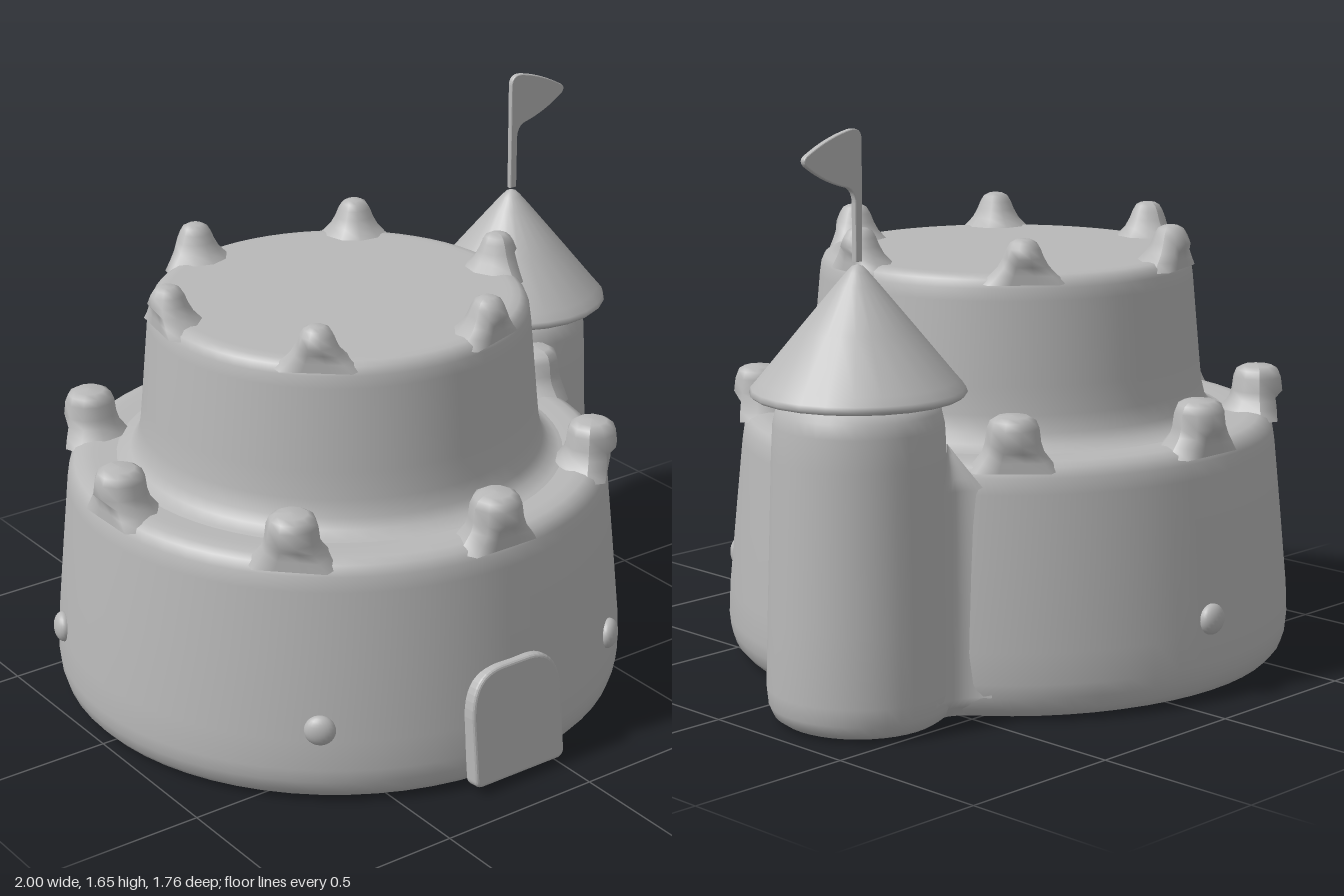
import * as THREE from 'three';
import { ParametricGeometry } from 'three/addons/geometries/ParametricGeometry.js';

const CX = -0.15, CZ = -0.01;        // main keep axis
const TX = 0.7, TZ = -0.26;          // side tower axis

export function createModel() {
  const group = new THREE.Group();
  const grey = new THREE.MeshStandardMaterial({ color: 0xb8b8b8 });
  grey.name = 'clay grey';
  const greyDouble = grey;

  function add(name, geometry, x = 0, y = 0, z = 0) {
    const mesh = new THREE.Mesh(geometry, grey);
    mesh.name = name;
    mesh.position.set(x, y, z);
    group.add(mesh);
    return mesh;
  }
  const lathe = (pts, n) => new THREE.LatheGeometry(pts.map(p => new THREE.Vector2(...p)), n);

  // Two round tiers, soft at the edges
  add('lowerTier', lathe([
    [0, 0], [0.77, 0], [0.79, 0.003], [0.815, 0.012], [0.835, 0.035], [0.846, 0.07], [0.85, 0.11],
    [0.846, 0.2], [0.825, 0.42], [0.803, 0.64], [0.796, 0.685], [0.78, 0.712], [0.755, 0.724],
    [0.72, 0.728], [0.68, 0.724], [0.5, 0.722],
  ], 64), CX, 0, CZ);
  add('upperTier', lathe([
    [0.69, 0.718], [0.65, 0.726], [0.62, 0.742], [0.6, 0.77], [0.588, 0.82], [0.58, 0.9],
    [0.558, 1.14], [0.553, 1.175], [0.543, 1.198], [0.525, 1.209], [0.5, 1.212], [0.48, 1.21], [0, 1.21],
  ], 64), CX + 0.005, 0, CZ + 0.005);

  // Merlons flare into the wall top; the flare is held back on the outer side
  function merlonRing(name, count, ring, start, floor, profile, limit) {
    for (let i = 0; i < count; i++) {
      const a = start + i * Math.PI * 2 / count;
      const geo = lathe(profile, 10);
      const p = geo.attributes.position;
      for (let j = 0; j < p.count; j++) {
        if (p.getY(j) < 0.05) p.setX(j, Math.min(p.getX(j), limit));
      }
      geo.computeVertexNormals();
      const m = add(name, geo, CX + ring * Math.cos(a), floor, CZ + ring * Math.sin(a));
      m.rotation.y = -a;
    }
  }
  merlonRing('lowerMerlon', 8, 0.752, 0, 0.72, [
    [0.13, -0.02], [0.105, 0.01], [0.086, 0.035], [0.078, 0.06], [0.073, 0.1], [0.064, 0.122],
    [0.045, 0.133], [0, 0.136],
  ], 0.052);
  merlonRing('upperMerlon', 6, 0.522, 0.2, 1.205, [
    [0.125, -0.02], [0.095, 0.006], [0.072, 0.03], [0.058, 0.055], [0.048, 0.08], [0.037, 0.098],
    [0.022, 0.106], [0, 0.107],
  ], 0.036);

  // Side tower with its roof
  add('tower', lathe([
    [0, 0], [0.2, 0], [0.225, 0.006], [0.245, 0.02], [0.258, 0.05], [0.263, 0.1], [0.257, 0.3],
    [0.242, 0.75], [0.237, 0.84], [0.228, 0.88], [0.21, 0.905], [0.18, 0.92], [0, 0.925],
  ], 40), TX, 0, TZ);
  add('towerRoof', lathe([
    [0, 0.93], [0.22, 0.925], [0.27, 0.918], [0.29, 0.919], [0.3, 0.928], [0.295, 0.942], [0.275, 0.965],
    [0.16, 1.105], [0.06, 1.225], [0.03, 1.26], [0.015, 1.275], [0, 1.28],
  ], 24), TX, 0, TZ);

  // Soft fillets where the tower meets the lower wall
  const axis = Math.atan2(TZ - CZ, TX - CX), D = Math.hypot(TZ - CZ, TX - CX);
  for (const side of [1, -1]) {
    const surface = (u, v, out) => {
      const y = 0.01 + 0.77 * v;
      const edge = Math.min(1, v / 0.08);
      const R = 0.852 - 0.062 * v - 0.04 * (1 - edge);
      const r = 0.264 - 0.022 * v - 0.04 * (1 - edge);
      const cross = Math.acos((R * R + D * D - r * r) / (2 * R * D));
      const ix = R * Math.cos(cross), iz = R * Math.sin(cross);
      const psi = Math.atan2(iz, ix - D);
      const grow = Math.min(1, (1 - v) * 6);
      const wallA = cross + 0.13 * grow, towerA = psi - 0.42 * grow;
      const a = (1 - u) ** 2, b = 2 * u * (1 - u), c = u * u;
      const lx = a * R * Math.cos(wallA) + b * ix + c * (D + r * Math.cos(towerA));
      const lz = side * (a * R * Math.sin(wallA) + b * iz + c * r * Math.sin(towerA));
      out.set(CX + lx * Math.cos(axis) - lz * Math.sin(axis), y,
        CZ + lx * Math.sin(axis) + lz * Math.cos(axis));
    };
    // Swap the run direction on one side so both face outwards
    const run = side === 1 ? (u, v, o) => surface(1 - u, v, o) : surface;
    add('towerFillet', new ParametricGeometry(run, 10, 24));
  }
  greyDouble.side = THREE.DoubleSide;

  // Flag and pole cut from one thin plate
  const flag = new THREE.Shape();
  flag.moveTo(-0.008, 1.29);
  flag.lineTo(0.01, 1.29);
  flag.lineTo(0.01, 1.45);
  flag.quadraticCurveTo(0.012, 1.485, 0.04, 1.495);
  flag.quadraticCurveTo(0.12, 1.515, 0.185, 1.562);
  flag.quadraticCurveTo(0.2, 1.577, 0.184, 1.587);
  flag.quadraticCurveTo(0.11, 1.63, 0.03, 1.646);
  flag.quadraticCurveTo(-0.008, 1.652, -0.01, 1.62);
  flag.closePath();
  add('flag', new THREE.ExtrudeGeometry(flag, {
    depth: 0.01, bevelThickness: 0.004, bevelSize: 0.003, bevelSegments: 2, curveSegments: 10,
  }), TX, 0, TZ - 0.005);

  // Arched door leaning with the wall
  const door = new THREE.Shape();
  door.moveTo(-0.135, 0.005);
  door.lineTo(0.135, 0.005);
  door.quadraticCurveTo(0.15, 0.005, 0.15, 0.02);
  door.lineTo(0.15, 0.21);
  door.bezierCurveTo(0.145, 0.3, 0.11, 0.33, 0.05, 0.333);
  door.lineTo(-0.05, 0.333);
  door.bezierCurveTo(-0.11, 0.33, -0.145, 0.3, -0.15, 0.21);
  door.lineTo(-0.15, 0.02);
  door.quadraticCurveTo(-0.15, 0.005, -0.135, 0.005);
  add('door', new THREE.ExtrudeGeometry(door, {
    depth: 0.03, bevelThickness: 0.01, bevelSize: 0.01, bevelSegments: 3, curveSegments: 10,
  }), CX, 0.025, 0.838).rotation.x = -0.1;

  // Round studs on the lower wall
  const studs = [[-0.69, 0.655], [0.335, 0.69], [-0.93, -0.3], [-0.11, -0.86]];
  for (const [x, z] of studs) {
    const a = Math.atan2(z - CZ, x - CX);
    const stud = add('wallStud', new THREE.SphereGeometry(0.045, 20, 14),
      CX + 0.845 * Math.cos(a), 0.237, CZ + 0.845 * Math.sin(a));
    stud.scale.set(0.62, 1, 1);
    stud.rotation.y = -a;
  }
  return group;
}
